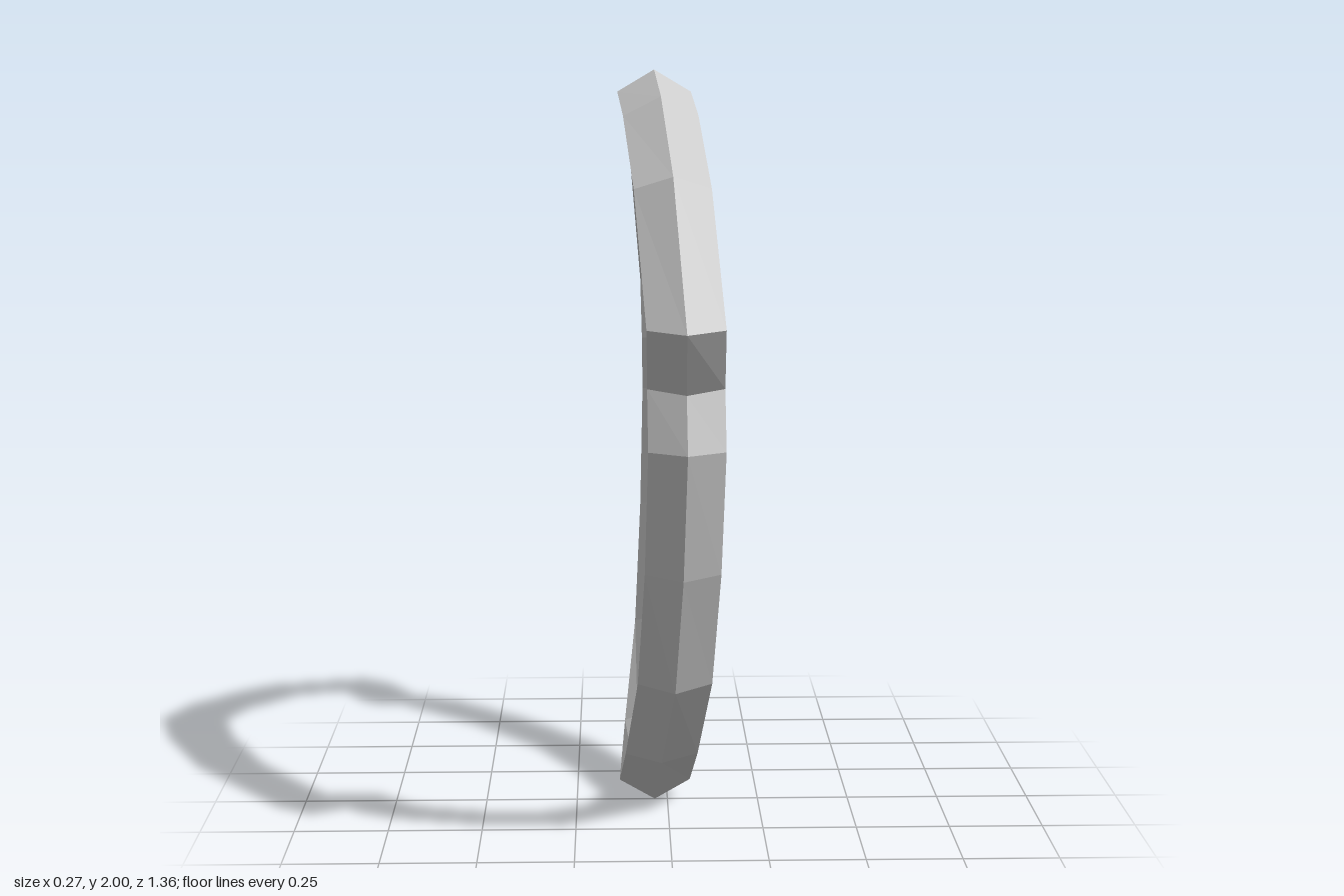
import * as THREE from 'three';

// Stations down one side: outer ridge z, y; inner rim z, y; sideways bend x
const stations = [
  [0, 2, 0, 1.885, -0.035],
  [0.2, 1.935, 0.15, 1.835, -0.021],
  [0.455, 1.745, 0.37, 1.68, 0.004],
  [0.68, 1.38, 0.56, 1.39, 0.032],
  [0.55, 1.215, 0.456, 1.235, 0.035],
  [0.59, 1.07, 0.495, 1.075, 0.037],
  [0.51, 0.735, 0.422, 0.755, 0.029],
  [0.385, 0.41, 0.296, 0.44, 0.012],
  [0.18, 0.16, 0.135, 0.2, -0.019],
  [0, 0, 0, 0.112, -0.035],
];

// Cross-section: sideways offset and depth from outer ridge (0) to inner rim (1)
const section = [[0, 0], [0.097, 0.5], [0.062, 1], [-0.062, 1], [-0.097, 0.5]];

export function createModel() {
  const group = new THREE.Group();

  // Mirror the stations to close the ring
  const mirrored = stations.slice(1, -1).reverse().map(([z, y, iz, iy, x]) => [-z, y, -iz, iy, x]);
  const ring = [...stations, ...mirrored];
  const n = ring.length, m = section.length;

  const positions = [];
  for (const [z, y, iz, iy, x] of ring) {
    for (const [dx, t] of section) {
      positions.push(x + dx, THREE.MathUtils.lerp(y, iy, t), THREE.MathUtils.lerp(z, iz, t));
    }
  }

  // Skin neighbouring cross-sections
  const index = [];
  for (let i = 0; i < n; i++) {
    for (let j = 0; j < m; j++) {
      const a = i * m + j, b = ((i + 1) % n) * m + j;
      const c = ((i + 1) % n) * m + (j + 1) % m, d = i * m + (j + 1) % m;
      index.push(a, b, c, a, c, d);
    }
  }

  const geometry = new THREE.BufferGeometry();
  geometry.setAttribute('position', new THREE.Float32BufferAttribute(positions, 3));
  geometry.setIndex(index);
  geometry.computeVertexNormals();

  const frame = new THREE.Mesh(geometry, new THREE.MeshStandardMaterial({ color: 0xcccccc, flatShading: true }));
  frame.name = 'shieldRim';
  group.add(frame);
  return group;
}
